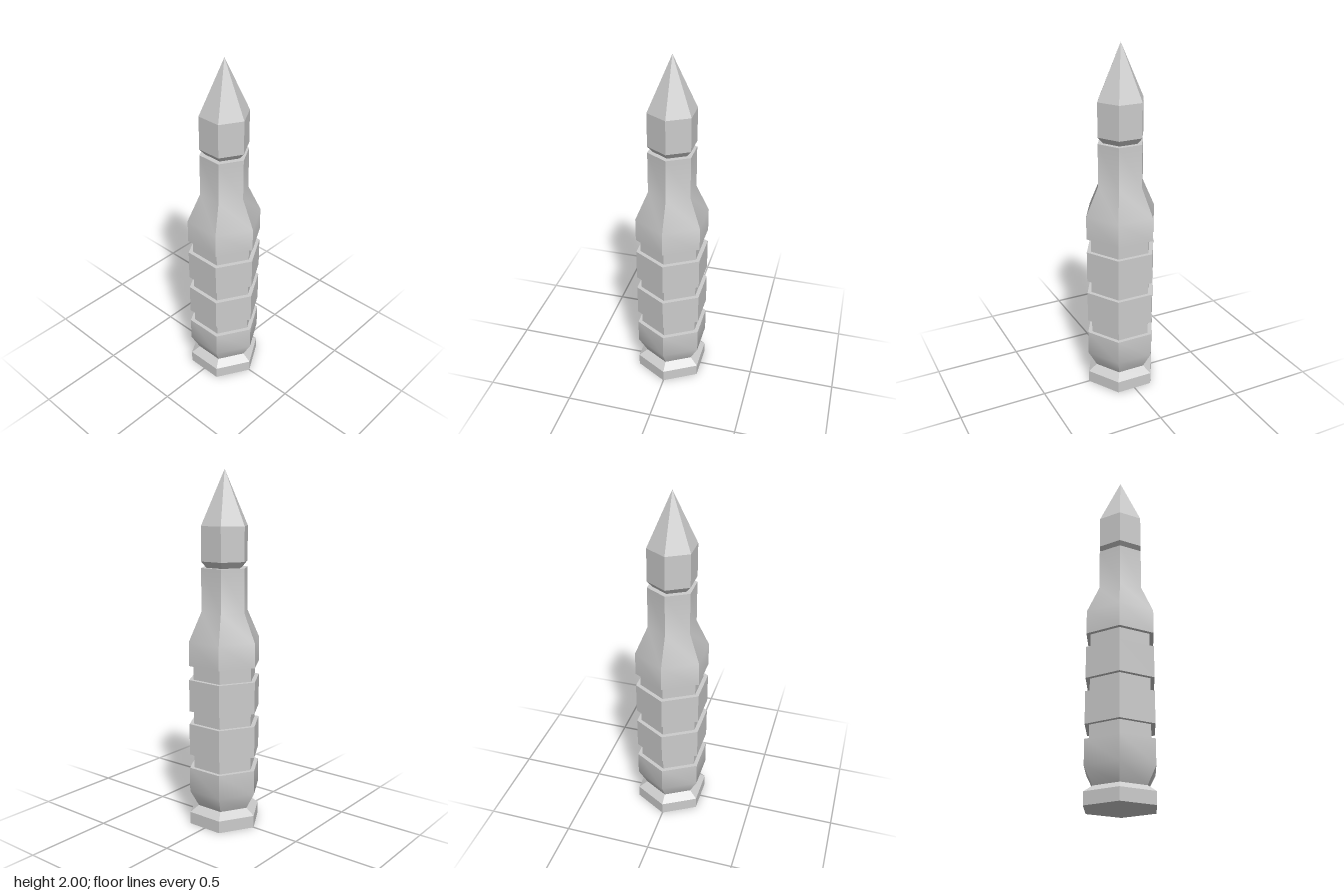
import * as THREE from 'three';
import { toCreasedNormals } from 'three/addons/utils/BufferGeometryUtils.js';

const R = 0.212;       // body radius
const GROOVE = 0.186;  // recessed ring radius
const NECK = 0.137;    // neck and tip radius

export function createModel() {
  const group = new THREE.Group();
  const material = new THREE.MeshStandardMaterial({ color: 0xcccccc });

  // Six-sided turned part; profile is [radius, y] from bottom to top.
  // Gentle bends stay smooth, the six long edges stay sharp.
  const turned = (name, profile, crease = 0.6) => {
    const points = profile.map(([r, y]) => new THREE.Vector2(r, y));
    const lathe = new THREE.LatheGeometry(points, 6, Math.PI / 2);
    const mesh = new THREE.Mesh(toCreasedNormals(lathe, crease), material);
    mesh.name = name;
    group.add(mesh);
  };

  // Foot with a steep upper bevel
  turned('foot', [[0, 0], [R, 0], [R, 0.07], [0.16, 0.105]]);

  // Lower body flaring out from the foot
  turned('lowerBody', [[0.16, 0.105], [R, 0.2], [R, 0.34], [GROOVE, 0.34]]);

  // Recessed rings between the body bands
  [[0.34, 0.42], [0.6, 0.675], [0.855, 0.935]].forEach(([y0, y1], i) =>
    turned(`groove${i + 1}`, [[GROOVE, y0], [GROOVE, y1]]));

  // Two plain bands
  [[0.42, 0.6], [0.675, 0.855]].forEach(([y0, y1], i) =>
    turned(`band${i + 1}`, [[GROOVE, y0], [R, y0], [R, y1], [GROOVE, y1]]));

  // Upper band, sloping shoulder and neck
  turned('shoulderAndNeck', [
    [GROOVE, 0.935], [R, 0.935], [R, 1.07], [NECK, 1.235], [NECK, 1.475], [0.106, 1.475],
  ]);

  // Tip collar undercut above the neck
  turned('collar', [[0.106, 1.475], [NECK, 1.51], [NECK, 1.7]]);

  // Pointed tip
  turned('point', [[NECK, 1.7], [0, 2]]);

  return group;
}
